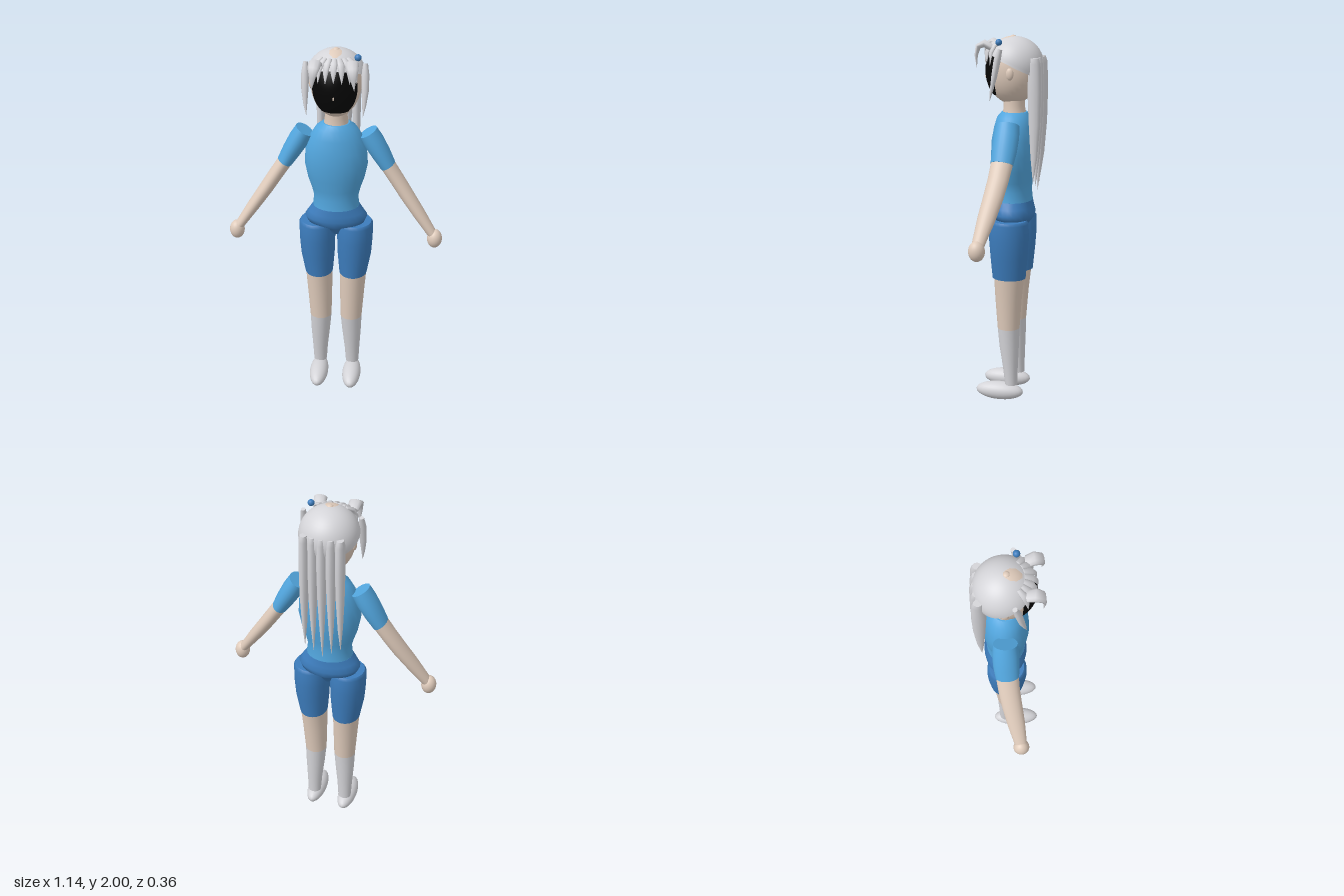
import * as THREE from 'three';
import { mergeVertices } from 'three/addons/utils/BufferGeometryUtils.js';

const mat = (name, color, side = THREE.FrontSide) => {
  const m = new THREE.MeshStandardMaterial({ color, side });
  m.name = name;
  return m;
};

// Tube through rows of [x, y, z, radiusU, radiusV]; radiusV lies along ref. Fixed axis keeps rings parallel.
function loft(rows, { axis = null, ref = new THREE.Vector3(0, 0, 1), seg = 24 } = {}) {
  const pos = [], idx = [], n = rows.length;
  const at = i => new THREE.Vector3(...rows[Math.max(0, Math.min(n - 1, i))].slice(0, 3));
  rows.forEach((r, i) => {
    const t = axis || at(i + 1).sub(at(i - 1)).normalize();
    const u = t.clone().cross(ref).normalize(), v = t.clone().cross(u);
    for (let j = 0; j < seg; j++) {
      const a = j / seg * Math.PI * 2;
      const p = at(i).addScaledVector(u, r[3] * Math.cos(a)).addScaledVector(v, r[4] * Math.sin(a));
      pos.push(p.x, p.y, p.z);
    }
  });
  for (let i = 0; i < n - 1; i++) for (let j = 0; j < seg; j++) {
    const a = i * seg + j, b = i * seg + (j + 1) % seg;
    idx.push(a, b, a + seg, b, b + seg, a + seg);
  }
  // end caps with their own vertices, so the rims stay sharp
  for (const i of [0, n - 1]) {
    const base = pos.length / 3;
    for (let j = 0; j < seg; j++) pos.push(...pos.slice((i * seg + j) * 3, (i * seg + j) * 3 + 3));
    pos.push(...rows[i].slice(0, 3));
    for (let j = 0; j < seg; j++) {
      const a = base + j, b = base + (j + 1) % seg;
      idx.push(base + seg, ...(i === 0 ? [b, a] : [a, b]));
    }
  }
  const g = new THREE.BufferGeometry();
  g.setAttribute('position', new THREE.Float32BufferAttribute(pos, 3));
  g.setIndex(idx);
  g.computeVertexNormals();
  return g;
}

// Moves the vertices of a unit-sphere geometry by a rule and smooths it again
function reshape(g, rule) {
  g.deleteAttribute('uv');
  g.deleteAttribute('normal');
  const p = g.attributes.position, v = new THREE.Vector3();
  for (let i = 0; i < p.count; i++) {
    rule(v.fromBufferAttribute(p, i));
    p.setXYZ(i, v.x, v.y, v.z);
  }
  const m = mergeVertices(g, 1e-5);
  m.computeVertexNormals();
  return m;
}

export function createModel() {
  const model = new THREE.Group();
  model.name = 'figure';
  const skin = mat('skin', 0xdfcbbb), shirt = mat('shirt blue', 0x52a6de), shorts = mat('shorts blue', 0x3c7cbc);
  const pale = mat('pale grey', 0xd4d4d8, THREE.DoubleSide), black = mat('face black', 0x060606, THREE.DoubleSide);
  const add = (name, geo, material) => {
    const m = new THREE.Mesh(geo, material);
    m.name = name;
    model.add(m);
    return m;
  };
  const ball = (name, c, r, material) => {
    const m = add(name, new THREE.SphereGeometry(1, 24, 16), material);
    m.position.set(...c);
    m.scale.set(...r);
    return m;
  };
  const flip = (rows, s) => rows.map(([x, ...rest]) => [x * s, ...rest]);
  const down = { axis: new THREE.Vector3(0, -1, 0) };

  // Torso, pelvis and neck
  add('torso', loft([
    [0, 1.605, -0.012, 0.07, 0.068], [0, 1.58, -0.012, 0.105, 0.09], [0, 1.53, -0.012, 0.138, 0.105],
    [0, 1.46, -0.01, 0.16, 0.116], [0, 1.38, -0.008, 0.166, 0.118], [0, 1.3, -0.008, 0.15, 0.11],
    [0, 1.24, -0.008, 0.13, 0.1], [0, 1.19, -0.008, 0.118, 0.096], [0, 1.13, -0.008, 0.125, 0.102]], down), shirt);
  add('pelvis', loft([
    [0, 1.135, -0.008, 0.125, 0.102], [0, 1.1, -0.008, 0.148, 0.108], [0, 1.07, -0.01, 0.168, 0.113],
    [0, 1.04, -0.01, 0.155, 0.108], [0, 1.02, -0.01, 0.06, 0.09], [0, 0.975, -0.01, 0.033, 0.06]], down), shorts);
  add('neck', loft([[0, 1.7, -0.01, 0.062, 0.06], [0, 1.64, -0.01, 0.058, 0.055], [0, 1.59, -0.012, 0.066, 0.062]], down), skin);

  for (const s of [1, -1]) {
    const side = s > 0 ? 'left' : 'right';
    // Legs: shorts, bare knee, sock and shoe
    add(side + 'ShortsLeg', loft(flip([
      [0.103, 1.04, -0.005, 0.088, 0.092], [0.103, 1.025, -0.005, 0.097, 0.105], [0.102, 0.94, -0.005, 0.097, 0.107],
      [0.1, 0.84, -0.005, 0.092, 0.1], [0.094, 0.72, -0.004, 0.076, 0.09]], s), down), shorts);
    add(side + 'Knee', loft(flip([
      [0.094, 0.725, -0.004, 0.074, 0.082], [0.09, 0.6, 0, 0.068, 0.072], [0.086, 0.43, 0.001, 0.06, 0.06]], s), down), skin);
    add(side + 'Sock', loft(flip([
      [0.086, 0.43, 0.001, 0.06, 0.06], [0.089, 0.32, -0.003, 0.053, 0.053],
      [0.092, 0.2, -0.01, 0.043, 0.041], [0.093, 0.1, -0.015, 0.037, 0.034]], s), down), pale);
    ball(side + 'Shoe', [s * 0.095, 0.055, 0.051], [0.053, 0.05, 0.133], pale);

    // Arms: sleeve, bare arm and fist
    add(side + 'Sleeve', loft(flip([
      [0.164, 1.554, -0.014, 0.051, 0.06], [0.195, 1.502, -0.014, 0.054, 0.066],
      [0.235, 1.435, -0.012, 0.049, 0.065], [0.271, 1.373, -0.008, 0.041, 0.059]], s)), shirt);
    add(side + 'Arm', loft(flip([
      [0.268, 1.378, -0.008, 0.039, 0.057], [0.32, 1.3, 0, 0.038, 0.054], [0.37, 1.225, 0.012, 0.037, 0.052],
      [0.44, 1.125, 0.032, 0.033, 0.046], [0.52, 1.01, 0.055, 0.025, 0.032]], s)), skin);
    ball(side + 'Hand', [s * 0.532, 0.986, 0.058], [0.04, 0.052, 0.042], skin);
    ball(side + 'Ear', [s * 0.127, 1.81, -0.015], [0.013, 0.031, 0.02], skin);

    // Hair locks framing the face
    add(side + 'SideLock', loft(flip([
      [0.148, 1.935, 0.03, 0.012, 0.012], [0.149, 1.88, 0.045, 0.02, 0.018], [0.15, 1.8, 0.06, 0.018, 0.015],
      [0.147, 1.73, 0.075, 0.01, 0.009], [0.142, 1.675, 0.087, 0.001, 0.001]], s), { seg: 10 }), pale);
    add(side + 'FringeCurl', loft(flip([
      [0.085, 1.94, 0.09, 0.018, 0.03], [0.09, 1.96, 0.125, 0.02, 0.034], [0.094, 1.945, 0.158, 0.015, 0.03],
      [0.099, 1.9, 0.167, 0.008, 0.016], [0.104, 1.84, 0.163, 0.001, 0.001]], s),
      { ref: new THREE.Vector3(1, 0, 0), seg: 10 }), pale);
  }

  // Head with a dark face panel
  const onHead = v => v.set(v.x * 0.128, 1.82 + v.y * 0.175, v.z * 0.14 - 0.002);
  add('head', reshape(new THREE.SphereGeometry(1, 32, 24), onHead), skin);
  add('facePanel', reshape(new THREE.SphereGeometry(1, 40, 20, 0, Math.PI * 2, 0, Math.PI / 3).rotateX(Math.PI / 2), v => {
    v.y = THREE.MathUtils.clamp(v.y, -0.71, 0.66);
    v.z = Math.sqrt(Math.max(0, 1 - v.x * v.x - v.y * v.y));
    onHead(v.multiplyScalar(1.02));
  }), black);
  ball('nose', [0, 1.785, 0.141], [0.004, 0.009, 0.005], skin);
  ball('crownSpot', [0, 1.991, -0.004], [0.016, 0.009, 0.016], skin);

  // Hair cap, high at the forehead and low at the nape
  add('hairCap', reshape(new THREE.SphereGeometry(1, 40, 16, 0, Math.PI * 2, 0, Math.PI / 2), v => {
    const phi = Math.atan2(v.x, v.z), d = Math.cos(phi);
    const edge = THREE.MathUtils.degToRad(d > 0 ? 85 - 25 * d : 85 - 30 * d);
    const t = Math.acos(Math.min(1, v.y)) / (Math.PI / 2) * edge;
    v.set(0.153 * Math.sin(t) * Math.sin(phi), 1.845 + 0.149 * Math.cos(t), 0.153 * Math.sin(t) * d - 0.013);
  }), pale);

  // Fringe spikes fanned over the forehead
  for (let i = -3; i <= 3; i++) {
    const a = i * 0.27, sx = Math.sin(a), cz = Math.cos(a), tip = 1.865 - 0.005 * Math.abs(i);
    const row = (r, y, w, b) => [sx * r, y, cz * r - 0.013, w, b];
    add('fringeSpike', loft([
      row(0.09, 1.965, 0.008, 0.012), row(0.125, 1.95, 0.01, 0.018), row(0.146, 1.915, 0.008, 0.014), row(0.153, tip, 0.001, 0.001)],
      { ref: new THREE.Vector3(cz, 0, -sx), seg: 10 }), pale);
  }

  // Long locks down the back
  for (let i = -2; i <= 2; i++) {
    const x = i * 0.046, tip = 1.19 + 0.03 * Math.abs(i), z = -0.142 + 0.003 * Math.abs(i);
    add('backLock', loft([
      [x, 1.89, z, 0.018, 0.022], [x, 1.86, z, 0.024, 0.032], [x, 1.72, z, 0.025, 0.036],
      [x * 1.02, 1.55, z - 0.002, 0.021, 0.03], [x * 1.03, 1.38, z, 0.013, 0.018], [x * 1.04, tip, z + 0.004, 0.001, 0.001]],
      { seg: 12 }), pale);
  }
  ball('hairBobble', [0.112, 1.968, 0.045], [0.017, 0.017, 0.017], shorts);
  return model;
}
